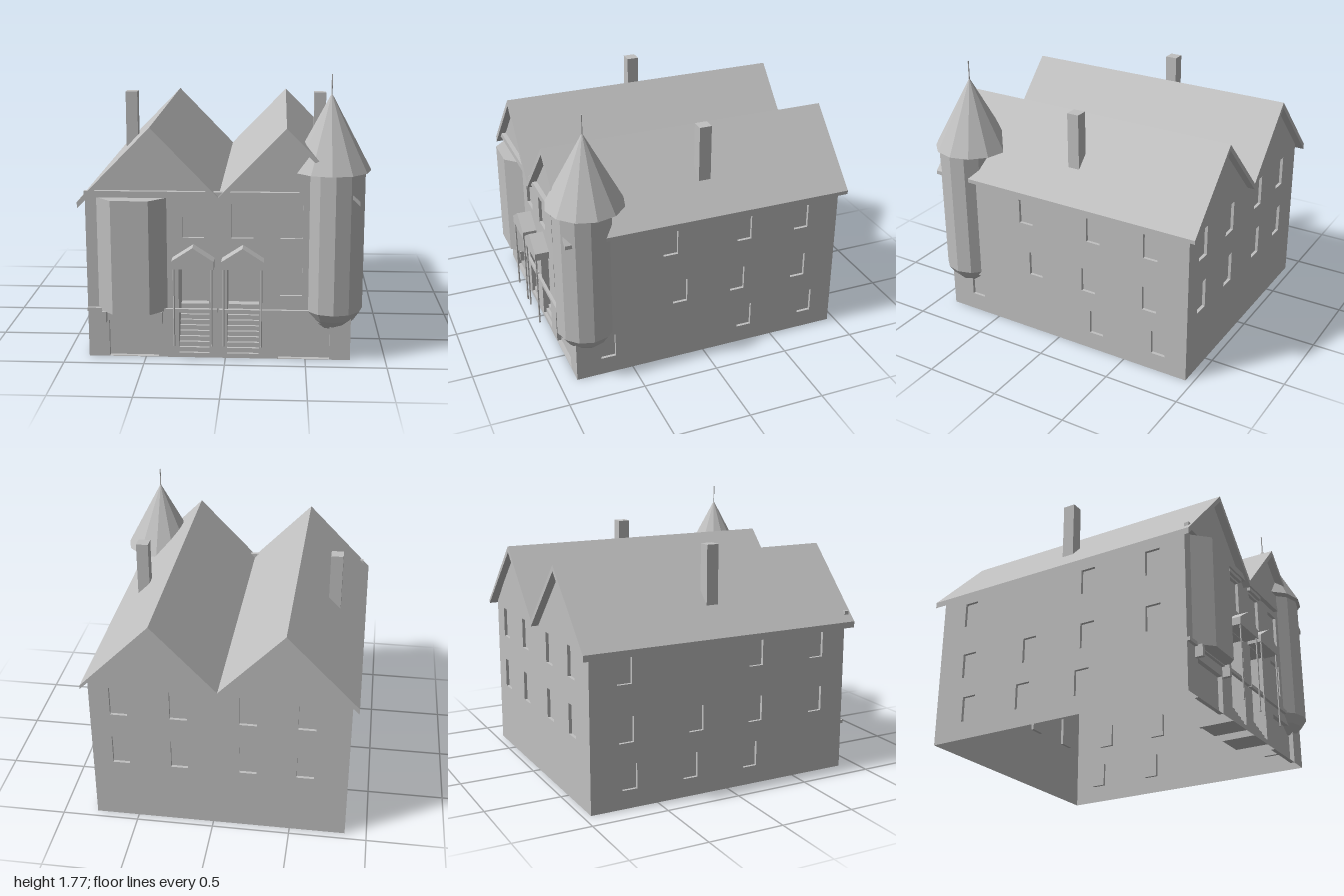
import * as THREE from 'three';

const stone = new THREE.MeshStandardMaterial({ color: 0xc0c0c0, side: THREE.DoubleSide, flatShading: true });
stone.name = 'pale grey stone';

export function createModel() {
  const model = new THREE.Group();
  model.name = 'townhouse';

  const add = (name, geo, x = 0, y = 0, z = 0, parent = model) => {
    const mesh = new THREE.Mesh(geo, stone);
    mesh.name = name;
    mesh.position.set(x, y, z);
    parent.add(mesh);
    return mesh;
  };
  // box given by its limits on each axis
  const box = (name, x0, x1, y0, y1, z0, z1, parent) =>
    add(name, new THREE.BoxGeometry(x1 - x0, y1 - y0, z1 - z0), (x0 + x1) / 2, (y0 + y1) / 2, (z0 + z1) / 2, parent);
  const polygon = pts => new THREE.Shape(pts.map(p => new THREE.Vector2(...p)));
  const prism = (pts, depth) => new THREE.ExtrudeGeometry(polygon(pts), { depth, bevelEnabled: false });

  // thin wall facing local +z, pierced by recesses [x0, x1, y0, y1, depth]
  function wall(name, outline, recesses, x, z, turn) {
    const group = new THREE.Group();
    group.name = name;
    group.position.set(x, 0, z);
    group.rotation.y = turn;
    model.add(group);
    const shape = polygon(outline);
    for (const [x0, x1, y0, y1, d = 0.02] of recesses) {
      shape.holes.push(new THREE.Path([[x0, y0], [x0, y1], [x1, y1], [x1, y0]].map(p => new THREE.Vector2(...p))));
      const recess = box('recess', x0, x1, y0, y1, -d, 0, group);
      // leave out the outward face so the recess is open
      const index = Array.from(recess.geometry.index.array);
      index.splice(24, 6);
      recess.geometry.setIndex(index);
      recess.geometry.clearGroups();
    }
    add('wallFace', new THREE.ShapeGeometry(shape), 0, 0, 0, group);
  }
  const windowAt = (cx, y0, w, h) => [cx - w / 2, cx + w / 2, y0, y0 + h];

  // gabled end walls
  const gables = [[-0.86, 0], [0.78, 0], [0.78, 1.02], [0.37, 1.45], [-0.04, 1.02], [-0.45, 1.45], [-0.86, 1.02]];
  const entries = [[-0.29, -0.1], [0.01, 0.21]];
  wall('frontWall', gables, [
    ...[-0.197, 0.107, 0.407].map(x => windowAt(x, 0.78, 0.135, 0.215)),
    windowAt(0.407, 0.415, 0.135, 0.215),
    ...entries.map(([a, b]) => [a, b, 0.003, 0.6, 0.22]),
    [-0.73, -0.42, 0.003, 0.24, 0.03],
    [0.33, 0.65, 0.003, 0.24, 0.03],
  ], 0, 0.88, 0);
  const backWindows = [];
  for (const x of [0.595, 0.215, -0.225, -0.59])
    for (const y of [0.42, 0.79]) backWindows.push(windowAt(-x, y, 0.11, 0.2));
  wall('backWall', gables.map(([x, y]) => [-x, y]), backWindows, 0, -0.95, Math.PI);

  // side walls, window centres given along z for each storey
  const sideWall = (name, x, side, storeys) => {
    const outline = [[-0.88 * side, 0], [0.95 * side, 0], [0.95 * side, 1.02], [-0.88 * side, 1.02]];
    const windows = storeys.flatMap(([y, zs]) => zs.map(z => windowAt(-z * side, y, 0.1, 0.165)));
    wall(name, outline, windows, x, 0, side * Math.PI / 2);
  };
  sideWall('leftWall', 0.78, 1, [
    [0.79, [0.237, -0.275, -0.685]], [0.422, [0.17, -0.235, -0.682]], [0.12, [0.665, -0.295, -0.75]]]);
  sideWall('rightWall', -0.86, -1, [
    [0.79, [0.66, 0.2, -0.72]], [0.422, [0.66, 0.2, -0.23, -0.71]], [0.12, [0.165, -0.27, -0.69]]]);

  // double gable roof
  add('roof', prism([
    [-0.9, 0.97], [-0.45, 1.43], [-0.04, 1.005], [0.37, 1.43], [0.815, 1.0],
    [0.815, 1.025], [0.37, 1.47], [-0.04, 1.045], [-0.45, 1.47], [-0.9, 1.01]], 1.93), 0, 0, -1);

  // chimneys
  for (const x of [-0.73, 0.56]) box('chimney', x, x + 0.08, 1.18, 1.565, -0.09, -0.01);

  // cornice, string courses and lintels
  box('cornice', -0.86, 0.45, 1.035, 1.075, 0.88, 0.91);
  box('stringCourse', -0.86, -0.05, 0.302, 0.325, 0.88, 0.9);
  box('stringCourse', -0.04, 0.52, 0.302, 0.325, 0.88, 0.9);
  for (const x of [-0.28, 0.02]) box('lintel', x, x + 0.17, 1.01, 1.033, 0.88, 0.9);

  // oriel bay with its sill and brackets
  const bay = prism([[-0.79, -0.88], [-0.69, -0.98], [-0.46, -0.98], [-0.36, -0.88]], 0.72);
  bay.rotateX(-Math.PI / 2).translate(0, 0.31, 0);
  add('orielBay', bay);
  for (const x of [-0.765, -0.415]) box('bayBracket', x, x + 0.025, 0.235, 0.31, 0.88, 0.93);

  // entrances: steps, canopy and posts
  for (const [x0, x1] of entries) {
    const cx = (x0 + x1) / 2;
    for (let i = 1; i <= 10; i++)
      box('step', x0, x1, (i - 1) * 0.03, i * 0.03, 0.66, 0.88 - (i - 1) * 0.018);
    add('canopy', prism([[-0.13, 0.605], [0.13, 0.605], [0.13, 0.655], [0, 0.74], [-0.13, 0.655]], 0.095), cx, 0, 0.88);
    for (const s of [-1, 1])
      add('canopyPost', new THREE.CylinderGeometry(0.006, 0.006, 0.495, 6), cx + s * 0.116, 0.357, 0.967);
  }

  // corner turret
  const turret = new THREE.LatheGeometry([[0, 0.175], [0.09, 0.2], [0.15, 0.26], [0.1875, 0.315], [0.1875, 1.19]]
    .map(p => new THREE.Vector2(...p)), 12);
  add('turret', turret, 0.667, 0, 0.777);
  add('turretRoof', new THREE.ConeGeometry(0.25, 0.47, 12), 0.64, 1.425, 0.745);
  add('spire', new THREE.CylinderGeometry(0.004, 0.004, 0.135, 6), 0.64, 1.707, 0.745);

  return model;
}
